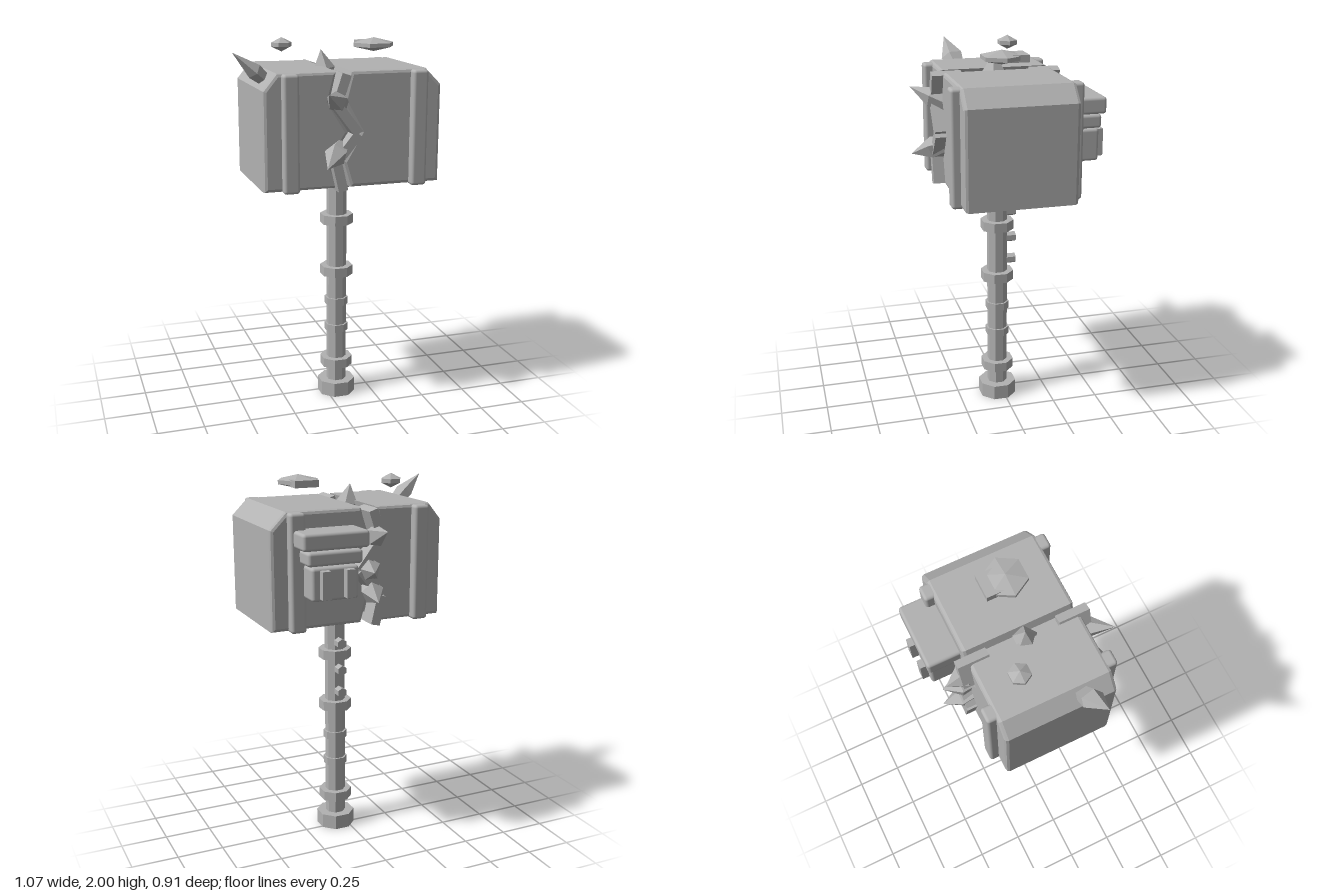
import * as THREE from 'three';
import { RoundedBoxGeometry } from 'three/addons/geometries/RoundedBoxGeometry.js';

export function createModel() {
  const model = new THREE.Group();
  const stone = new THREE.MeshStandardMaterial({ color: 0xb2b2b2 });
  stone.name = 'stoneGrey';

  const add = (name, geometry, x = 0, y = 0, z = 0) => {
    const mesh = new THREE.Mesh(geometry, stone);
    mesh.name = name;
    mesh.position.set(x, y, z);
    model.add(mesh);
    return mesh;
  };
  // Facets a geometry so that every face has its own normal
  const flat = (geometry) => {
    const g = geometry.index ? geometry.toNonIndexed() : geometry;
    g.computeVertexNormals();
    return g;
  };
  const v2 = (x, y) => new THREE.Vector2(x, y);
  const v3 = (p) => new THREE.Vector3(...p);

  // Handle with collars, grip rings and pommel, all eight-sided
  const hx = 0.057, hz = 0.03;
  const ring = (name, radius, y0, y1) => {
    const g = new THREE.CylinderGeometry(radius, radius, y1 - y0, 8).rotateY(Math.PI / 8);
    add(name, flat(g), hx, (y0 + y1) / 2, hz);
  };
  ring('handle', 0.055, 0.04, 1.3);
  ring('pommel', 0.105, 0, 0.08);
  for (const y of [0.165, 0.708, 1.003, 1.215]) ring('collar', 0.09, y, y + 0.052);
  for (const y of [0.375, 0.532]) ring('gripRing', 0.065, y, y + 0.042);
  for (const y of [0.82, 0.947, 1.098]) {
    const peg = new THREE.CylinderGeometry(0.028, 0.028, 0.09, 6).rotateX(Math.PI / 2);
    add('handlePeg', flat(peg), hx, y, -0.025);
  }

  // Two head blocks with a jagged split between them
  const bevel = 0.018, depth = 0.58, midZ = 0.02;
  const block = (name, points) => {
    const g = new THREE.ExtrudeGeometry(new THREE.Shape(points.map((p) => v2(...p))), {
      depth: depth - 2 * bevel, bevelThickness: bevel, bevelSize: bevel,
      bevelOffset: -bevel, bevelSegments: 2,
    });
    add(name, flat(g), 0, 0, midZ - depth / 2 + bevel);
  };
  block('rightHeadBlock', [
    [-0.415, 1.265], [-0.01, 1.265], [-0.07, 1.4], [0.03, 1.55], [-0.07, 1.71],
    [-0.035, 1.86], [-0.345, 1.86], [-0.415, 1.775],
  ]);
  block('leftHeadBlock', [
    [0.04, 1.265], [0.53, 1.265], [0.53, 1.775], [0.445, 1.86], [0.04, 1.86],
    [0.0, 1.71], [0.09, 1.55], [0.0, 1.4],
  ]);
  add('headCore', new THREE.BoxGeometry(0.22, 0.5, 0.48), 0, 1.56, midZ);

  // Raised bands on the front and back of the head
  for (const x of [-0.281, 0.4]) {
    for (const side of [-1, 1]) {
      add('headBand', new RoundedBoxGeometry(0.083, 0.597, 0.1, 2, 0.016),
        x, 1.558, midZ + side * 0.285);
    }
  }

  // Zigzag crack strips along the split, front and back
  const crack = [[0.0, 1.85], [-0.05, 1.7], [0.065, 1.55], [-0.05, 1.41], [-0.015, 1.26]];
  for (const side of [-1, 1]) {
    for (let i = 0; i < crack.length - 1; i++) {
      const a = v2(...crack[i]), b = v2(...crack[i + 1]);
      const d = b.clone().sub(a);
      const strip = add('crackStrip', new THREE.BoxGeometry(0.05, d.length(), 0.16),
        (a.x + b.x) / 2, (a.y + b.y) / 2, midZ + side * 0.262);
      strip.rotation.z = Math.atan2(-d.x, d.y);
    }
  }

  // Crystal shards growing from a base point to a tip
  const shard = (base, tip, radius, flatten = 1) => {
    const dir = v3(tip).sub(v3(base));
    const h = dir.length();
    const profile = [v2(0, 0), v2(radius * 0.7, 0), v2(radius, h * 0.4), v2(0, h)];
    const g = flat(new THREE.LatheGeometry(profile, 5).scale(flatten, 1, 1));
    const mesh = add('crystalShard', g, ...base);
    mesh.quaternion.setFromUnitVectors(v3([0, 1, 0]), dir.normalize());
  };
  shard([0.0, 1.69, 0.28], [-0.125, 1.765, 0.455], 0.055);
  shard([0.0, 1.48, 0.28], [-0.13, 1.4, 0.455], 0.06);
  shard([-0.01, 1.78, 0.03], [-0.03, 1.943, 0.02], 0.062);
  shard([-0.35, 1.8, 0.145], [-0.535, 1.955, 0.185], 0.062, 0.7);
  shard([0.0, 1.7, -0.25], [-0.04, 1.75, -0.4], 0.06);
  shard([0.01, 1.55, -0.25], [0.03, 1.55, -0.4], 0.065);
  shard([-0.01, 1.45, -0.25], [0.015, 1.4, -0.415], 0.06);
  shard([-0.02, 1.34, 0.02], [-0.05, 1.215, 0.02], 0.05);

  // Floating hexagonal stones above the head
  const hexStone = (name, radius, x, y0, y1, z) => {
    const h = y1 - y0;
    const profile = [v2(0, 0), v2(radius, h * 0.36), v2(radius, h * 0.64), v2(0, h)];
    add(name, flat(new THREE.LatheGeometry(profile, 6, Math.PI / 2)), x, y0, z);
  };
  hexStone('smallHexStone', 0.055, -0.21, 1.925, 2.0, -0.097);
  hexStone('largeHexStone', 0.11, 0.25, 1.928, 2.0, 0.055);
  add('hexStoneTab', new THREE.BoxGeometry(0.13, 0.036, 0.1), 0.25, 1.962, -0.02);

  // Stepped housing on the back of the head
  const housing = (name, w, y0, y1, zBack, r = 0.016) =>
    add(name, new RoundedBoxGeometry(w, y1 - y0, -0.25 - zBack, 2, r),
      0.25, (y0 + y1) / 2, (zBack - 0.25) / 2);
  housing('housingCap', 0.35, 1.69, 1.775, -0.438);
  housing('housingMiddle', 0.29, 1.612, 1.682, -0.425);
  housing('housingBody', 0.25, 1.438, 1.605, -0.42);
  housing('housingPlate', 0.22, 1.45, 1.76, -0.36);
  for (const x of [0.184, 0.312]) {
    add('housingBar', new THREE.BoxGeometry(0.046, 0.14, 0.06), x, 1.523, -0.426);
  }

  return model;
}
